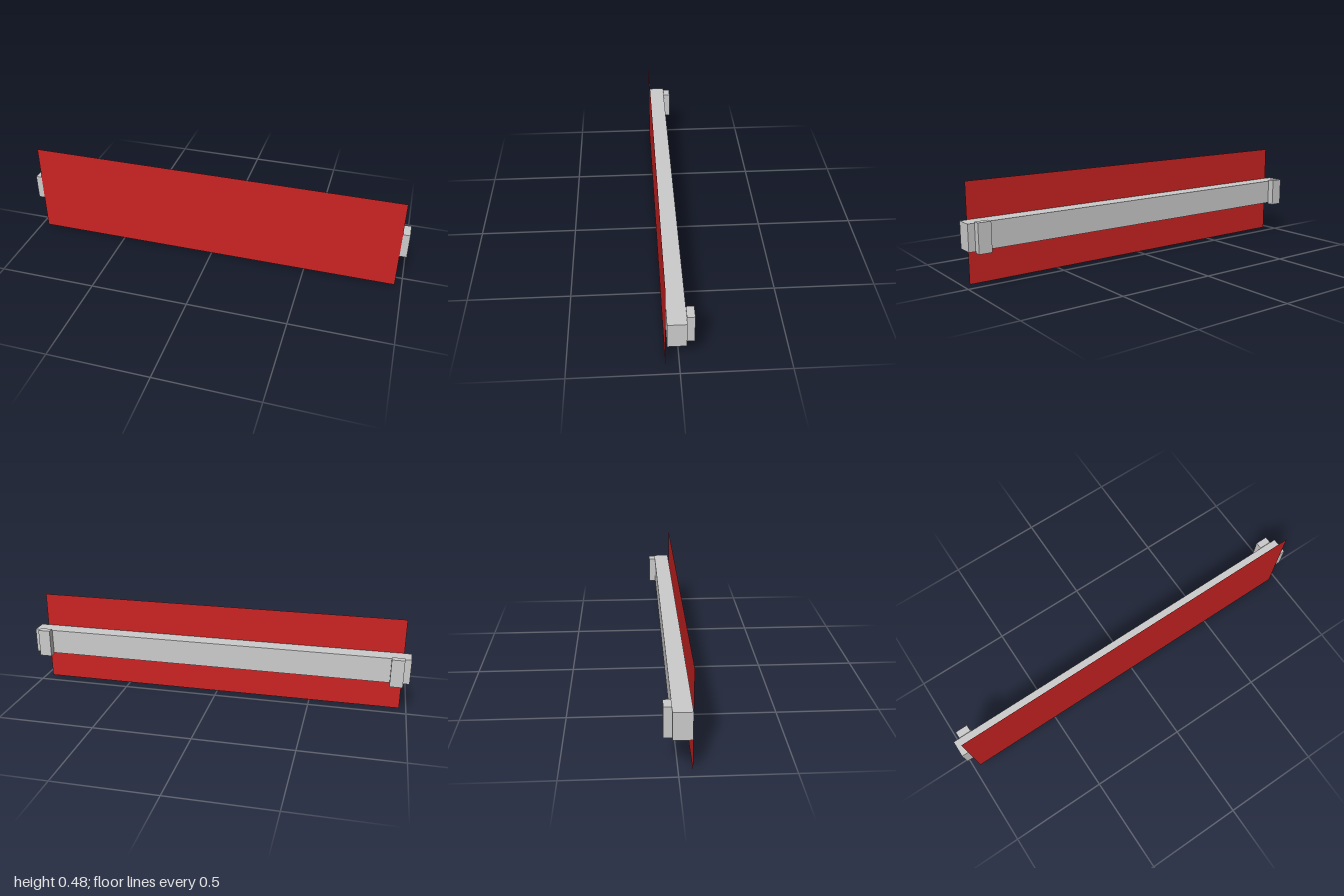
import * as THREE from 'three';

export function createModel() {
  const model = new THREE.Group();
  model.name = 'wallSign';

  const red = new THREE.MeshStandardMaterial({ color: 0xcc2222, side: THREE.DoubleSide });
  red.name = 'panel red';
  const grey = new THREE.MeshStandardMaterial({ color: 0xcccccc });
  grey.name = 'metal grey';

  const add = (name, geometry, material, x, y, z) => {
    const mesh = new THREE.Mesh(geometry, material);
    mesh.name = name;
    mesh.position.set(x, y, z);
    model.add(mesh);
  };

  // Thin sign face, just in front of the beam
  add('frontPanel', new THREE.PlaneGeometry(1.93, 0.483), red, 0, 0.2415, 0.0625);

  // Long beam behind the panel
  add('beam', new THREE.BoxGeometry(2, 0.13, 0.085), grey, 0, 0.242, 0.0155);

  // Mounting brackets on the back, near each end
  for (const side of [1, -1]) {
    add(side > 0 ? 'leftBracket' : 'rightBracket',
      new THREE.BoxGeometry(0.064, 0.144, 0.0355), grey, side * 0.935, 0.242, -0.04475);
  }

  return model;
}
